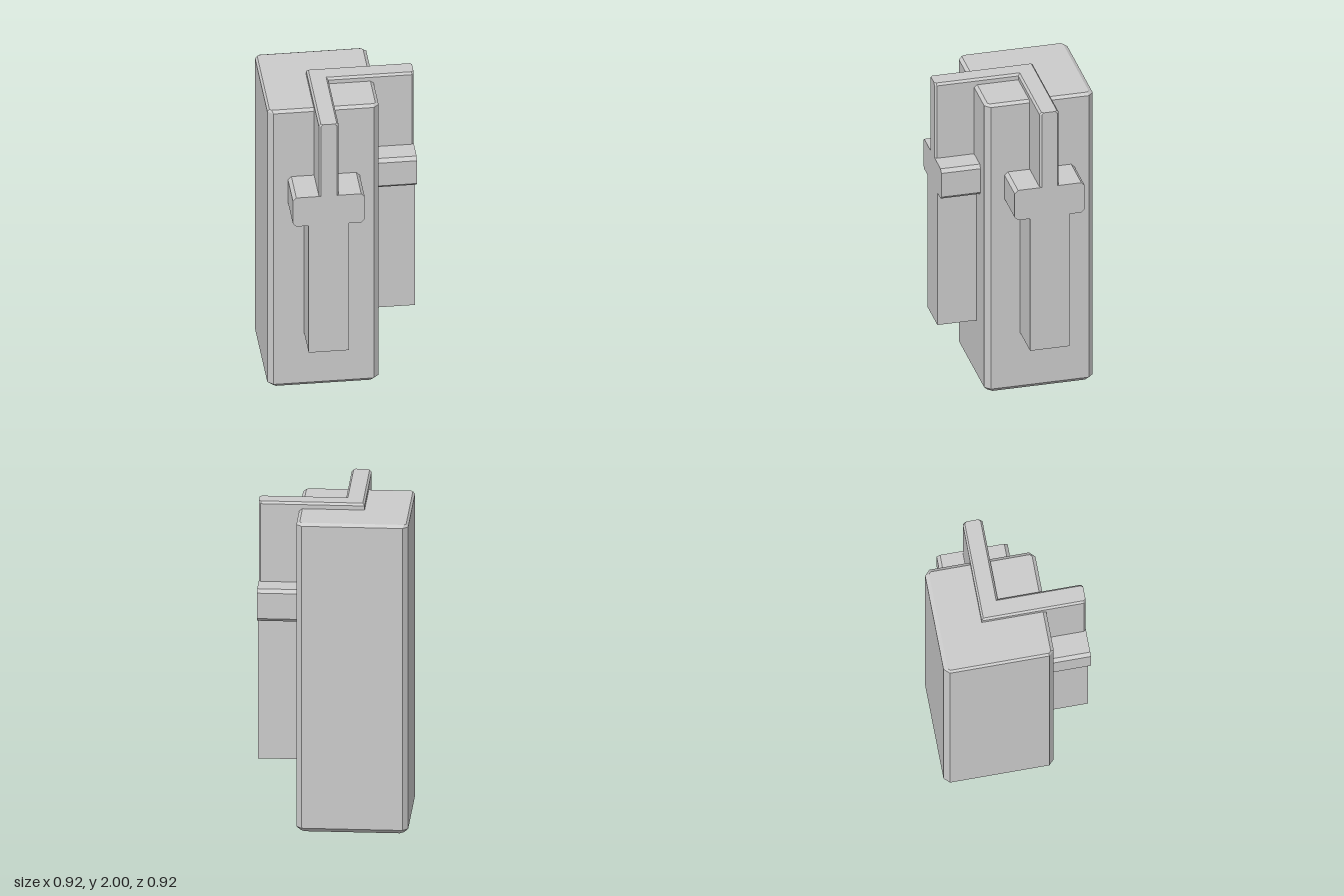
import * as THREE from 'three';

const material = new THREE.MeshStandardMaterial({ color: 0xcccccc, flatShading: true });

// Capped solid through rings { y, pts: [[x, z], ...] }, bottom to top, clockwise seen from above
function loft(rings) {
  const pos = [];
  const tri = (...v) => v.forEach(p => pos.push(...p));
  const at = (ring, i) => {
    const [x, z] = ring.pts[i % ring.pts.length];
    return [x, ring.y, z];
  };
  for (let k = 0; k < rings.length - 1; k++) {
    const lo = rings[k], up = rings[k + 1];
    for (let i = 0; i < lo.pts.length; i++) {
      tri(at(lo, i), at(up, i), at(up, i + 1));
      tri(at(lo, i), at(up, i + 1), at(lo, i + 1));
    }
  }
  const cap = (ring, facesUp) => {
    const flat = ring.pts.map(([x, z]) => new THREE.Vector2(x, -z));
    for (const [a, b, c] of THREE.ShapeUtils.triangulateShape(flat, [])) {
      const ccw = THREE.ShapeUtils.area([flat[a], flat[b], flat[c]]) > 0;
      const order = ccw === facesUp ? [a, b, c] : [a, c, b];
      tri(...order.map(i => at(ring, i)));
    }
  };
  cap(rings[0], false);
  cap(rings[rings.length - 1], true);
  const g = new THREE.BufferGeometry();
  g.setAttribute('position', new THREE.Float32BufferAttribute(pos, 3));
  g.computeVertexNormals();
  return g;
}

// Rectangle with cut corners
function cutRect(x0, x1, y0, y1, c) {
  return [[x0 + c, y0], [x1 - c, y0], [x1, y0 + c], [x1, y1 - c],
    [x1 - c, y1], [x0 + c, y1], [x0, y1 - c], [x0, y0 + c]];
}

// L-shaped rail outline, symmetric across the x = z diagonal
function railOutline(inset) {
  const o = -0.18 + inset, n = -0.06 - inset, end = 0.457, c = 0.012;
  const half = [[end - c, o], [end, o + c], [end, n - c], [end - c, n]];
  const mirrored = half.map(([x, z]) => [z, x]).reverse();
  return [[o, o], ...half, [n, n], ...mirrored];
}

function addMesh(parent, name, geometry) {
  const mesh = new THREE.Mesh(geometry, material);
  mesh.name = name;
  parent.add(mesh);
  return mesh;
}

// Crosspiece and hanging block, centred on local x = 0 and projecting to +z
function makeBracket(name) {
  const bracket = new THREE.Group();
  bracket.name = name;
  const start = 0.1, end = 0.457, depth = end - start;
  const shape = new THREE.Shape(
    cutRect(-0.217, 0.217, 1.29, 1.493, 0.021).map(p => new THREE.Vector2(...p)));
  const cross = new THREE.ExtrudeGeometry(shape, { depth, bevelEnabled: false });
  addMesh(bracket, 'crosspiece', cross.translate(0, 0, start));
  const block = new THREE.BoxGeometry(0.243, 0.93, depth);
  addMesh(bracket, 'hangingBlock', block.translate(0, 0.855, start + depth / 2));
  return bracket;
}

export function createModel() {
  const model = new THREE.Group();
  model.name = 'cornerPost';

  // Square post with bevelled edges
  const a = -0.459, b = 0.214;
  addMesh(model, 'post', loft([
    { y: 0, pts: cutRect(a + 0.025, b - 0.025, a + 0.025, b - 0.025, 0.025) },
    { y: 0.027, pts: cutRect(a, b, a, b, 0.033) },
    { y: 1.945, pts: cutRect(a, b, a, b, 0.033) },
    { y: 1.96, pts: cutRect(a + 0.013, b - 0.02, a + 0.025, b - 0.02, 0.012) },
  ]));

  // Corner rail rising above the post
  addMesh(model, 'cornerRail', loft([
    { y: 1.42, pts: railOutline(0) },
    { y: 1.986, pts: railOutline(0) },
    { y: 2, pts: railOutline(0.012) },
  ]));

  // One bracket under each end of the rail
  const front = makeBracket('frontBracket');
  front.position.x = -0.121;
  const left = makeBracket('leftBracket');
  left.position.z = -0.121;
  left.rotation.y = Math.PI / 2;
  model.add(front, left);

  return model;
}
